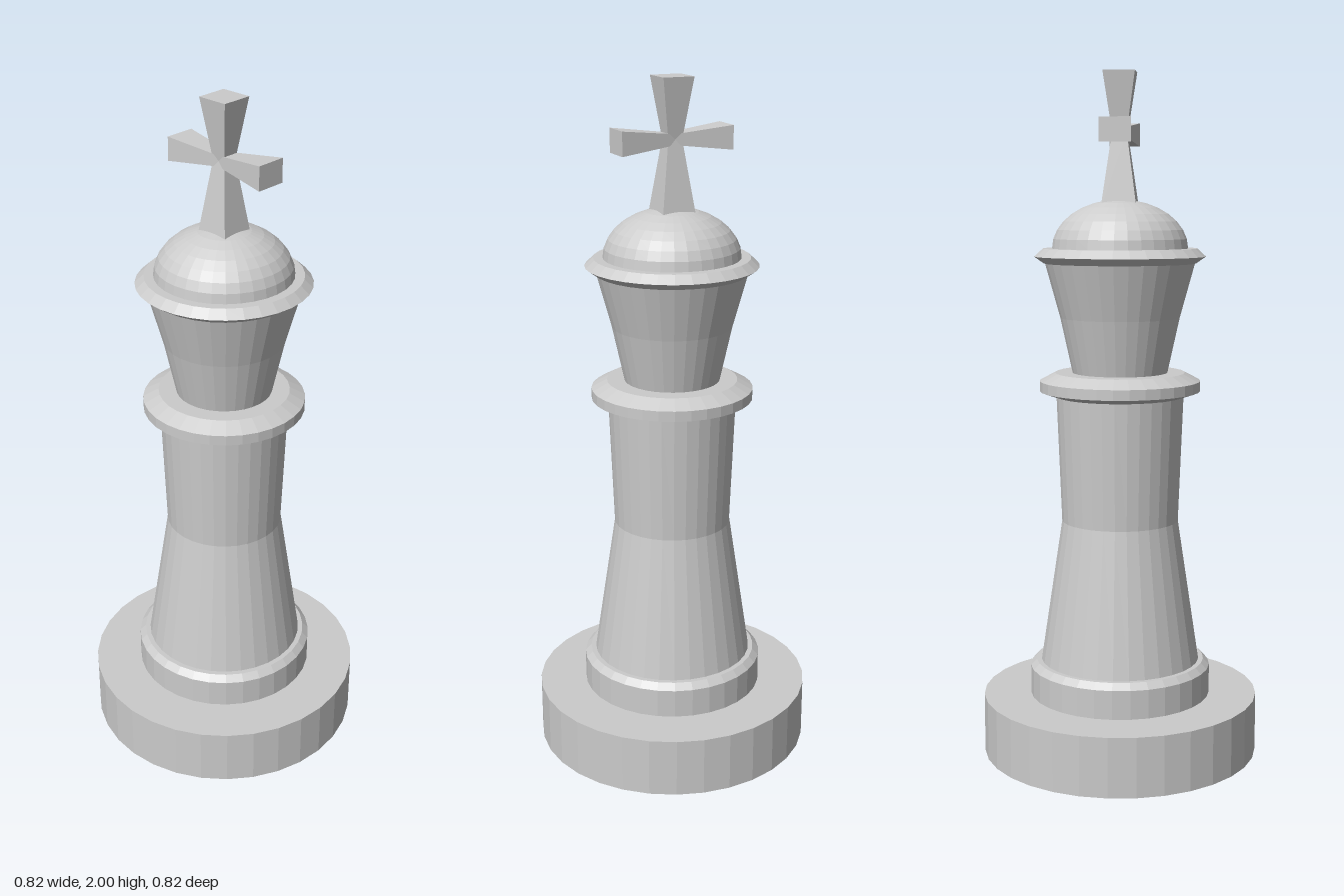
import * as THREE from 'three';

const SIDES = 32;
const material = new THREE.MeshStandardMaterial({ color: 0xcccccc, flatShading: true });

function addMesh(group, name, geometry) {
  const mesh = new THREE.Mesh(geometry, material);
  mesh.name = name;
  group.add(mesh);
  return mesh;
}

// Turned part from [radius, height] pairs, listed bottom to top
function turned(group, name, profile) {
  const points = profile.map(([r, y]) => new THREE.Vector2(r, y));
  return addMesh(group, name, new THREE.LatheGeometry(points, SIDES));
}

// Square arm flaring from the cross centre along +y; sizes are half widths
function flaredArm(group, name, length, waist, endX, endZ, waistX = waist) {
  const geometry = new THREE.BoxGeometry(2, length, 2).translate(0, length / 2, 0);
  const p = geometry.attributes.position;
  for (let i = 0; i < p.count; i++) {
    const end = p.getY(i) > length / 2;
    p.setX(i, p.getX(i) * (end ? endX : waistX));
    p.setZ(i, p.getZ(i) * (end ? endZ : waist));
  }
  geometry.computeVertexNormals();
  return addMesh(group, name, geometry);
}

export function createModel() {
  const king = new THREE.Group();
  king.name = 'chessKing';

  // Foot and plinth
  turned(king, 'base', [[0, 0], [0.408, 0], [0.408, 0.175], [0, 0.175]]);
  turned(king, 'plinth', [[0.268, 0.175], [0.268, 0.26], [0.25, 0.278], [0, 0.278]]);

  // Waisted body, collar and flared crown
  turned(king, 'body', [[0.236, 0.275], [0.172, 0.7], [0.187, 1.08]]);
  turned(king, 'collar', [[0, 1.07], [0.187, 1.07], [0.235, 1.086], [0.235, 1.116], [0.19, 1.14], [0, 1.14]]);
  turned(king, 'crown', [[0.139, 1.13], [0.139, 1.14], [0.174, 1.3], [0.218, 1.46]]);
  turned(king, 'crownRim', [[0, 1.457], [0.22, 1.457], [0.249, 1.477], [0.224, 1.5], [0, 1.5]]);

  // Flattened dome
  const dome = [];
  for (let i = 0; i <= 8; i++) {
    const a = (i / 8) * Math.PI / 2;
    dome.push([i === 8 ? 0 : 0.197 * Math.cos(a), 1.5 + 0.14 * Math.sin(a)]);
  }
  turned(king, 'dome', dome);

  // Cross with four flared arms
  const cross = new THREE.Group();
  cross.name = 'cross';
  cross.position.y = 1.83;
  king.add(cross);
  flaredArm(cross, 'topArm', 0.17, 0.021, 0.046, 0.046);
  flaredArm(cross, 'bottomArm', 0.22, 0.021, 0.052, 0.052).rotation.x = Math.PI;
  for (const side of [-1, 1]) {
    const arm = flaredArm(cross, side > 0 ? 'leftArm' : 'rightArm', 0.167, 0.021, 0.034, 0.045, 0.015);
    arm.rotation.z = -side * Math.PI / 2;
  }
  return king;
}
